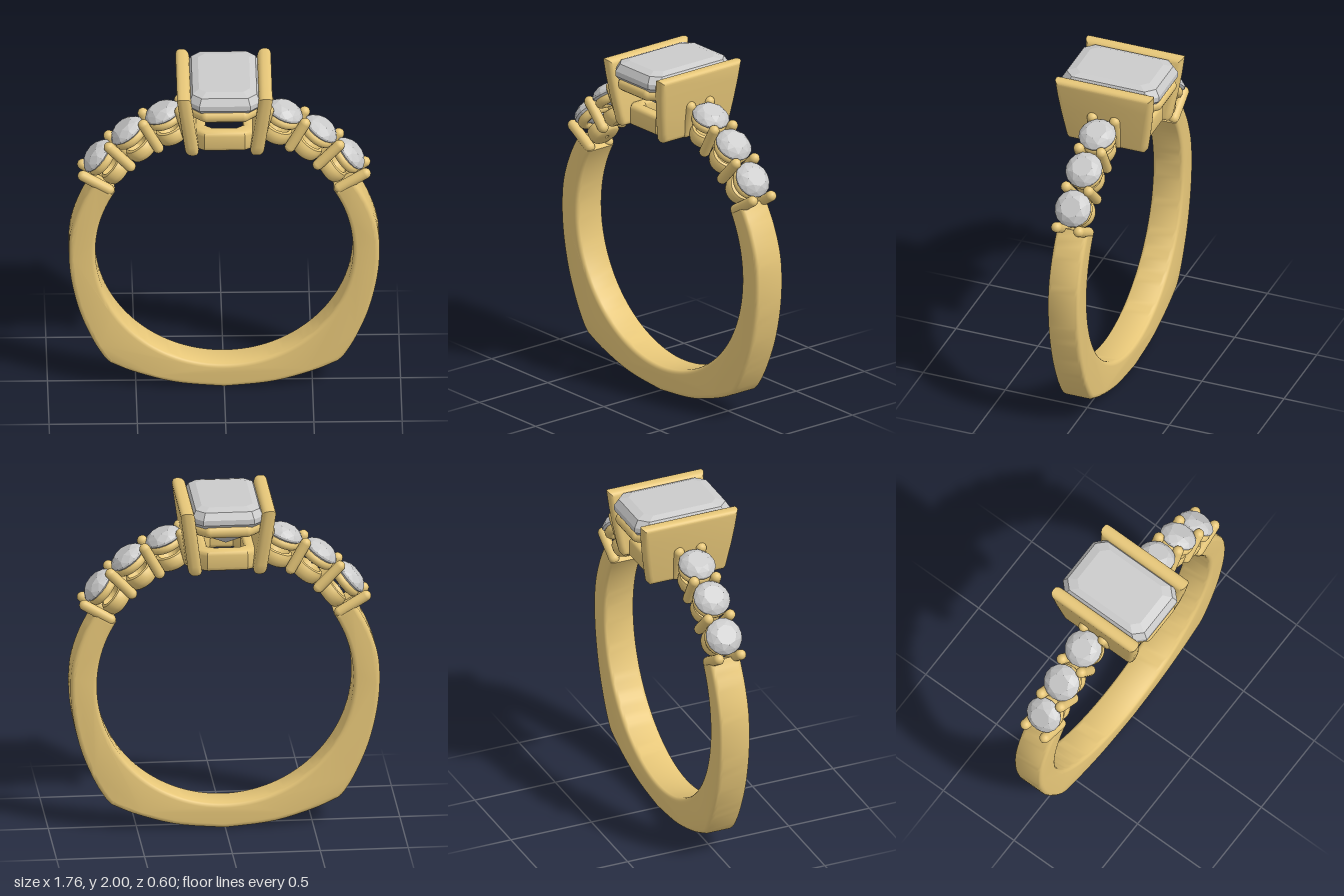
import * as THREE from 'three';
import { toCreasedNormals } from 'three/addons/utils/BufferGeometryUtils.js';
import { ConvexGeometry } from 'three/addons/geometries/ConvexGeometry.js';

const CY = 0.885, R = 0.73; // centre height and radius of the finger hole
const gold = new THREE.MeshStandardMaterial({ color: 0xe6c678 });
const gem = new THREE.MeshStandardMaterial({ color: 0xcccccc, flatShading: true });
const rad = THREE.MathUtils.degToRad;
const V2 = (x, y) => new THREE.Vector2(x, y);
const V3 = (x, y, z) => new THREE.Vector3(x, y, z);

function part(name, geometry, material = gold) {
  const m = new THREE.Mesh(geometry, material);
  m.name = name;
  return m;
}

// round-ended bar between two points
function rod(name, a, b, r) {
  const d = b.clone().sub(a);
  const m = part(name, new THREE.CapsuleGeometry(r, d.length(), 5, 14));
  m.position.copy(a).add(b).multiplyScalar(0.5);
  m.quaternion.setFromUnitVectors(V3(0, 1, 0), d.normalize());
  return m;
}

// rectangle with cut corners, as eight 2D points
function octagon(hx, hz, c) {
  return [[hx, hz - c], [hx - c, hz], [c - hx, hz], [-hx, hz - c],
    [-hx, c - hz], [c - hx, -hz], [hx - c, -hz], [hx, c - hz]].map(p => V2(...p));
}

// extrusion centred on its depth, with a rounded edge that keeps the outline size
function roundedExtrude(shape, depth, bevel, crease = 0.6) {
  const g = new THREE.ExtrudeGeometry(shape, {
    depth: depth - 2 * bevel, bevelEnabled: true, bevelThickness: bevel,
    bevelSize: bevel, bevelOffset: -bevel, bevelSegments: 4, curveSegments: 24,
  });
  g.translate(0, 0, bevel - depth / 2);
  return toCreasedNormals(g, crease);
}

// move vertices by a rule, then refresh the normals
function deform(g, rule, crease = 0.6) {
  const p = g.attributes.position, v = V3(0, 0, 0);
  for (let i = 0; i < p.count; i++) {
    rule(v.fromBufferAttribute(p, i));
    p.setXYZ(i, v.x, v.y, v.z);
  }
  return toCreasedNormals(g, crease);
}

function shank() {
  const side = new THREE.SplineCurve([[0.735, 1.335], [0.81, 1.2], [0.865, 1.04], [0.88, 0.88],
    [0.866, 0.7], [0.82, 0.5], [0.75, 0.325], [0.685, 0.21], [0.645, 0.165]].map(p => V2(...p))).getPoints(40);
  const base = new THREE.SplineCurve([[0.645, 0.165], [0.5, 0.1], [0.27, 0.033], [0, 0.005]]
    .map(p => V2(...p))).getPoints(14);
  const half = [...side, ...base.slice(1)];
  const outer = [...half, ...half.slice(0, -1).reverse().map(p => V2(-p.x, p.y))];
  const inner = [];
  for (let i = 0; i <= 90; i++) {
    const a = rad(-212 + i * 244 / 90);
    inner.push(V2(R * Math.cos(a), CY + R * Math.sin(a)));
  }
  return part('shank', roundedExtrude(new THREE.Shape([...outer, ...inner]), 0.19, 0.025));
}

// round brilliant stone: table, crown, girdle and point
function roundStone() {
  const pts = [V3(0, -0.09, 0)];
  const ring = (n, r, y, turn) => {
    for (let i = 0; i < n; i++) {
      const a = (i + turn) * 2 * Math.PI / n;
      pts.push(V3(r * Math.cos(a), y, r * Math.sin(a)));
    }
  };
  ring(8, 0.06, 0.048, 0);
  ring(8, 0.09, 0.03, 0.5);
  ring(16, 0.107, 0.006, 0);
  ring(16, 0.107, -0.006, 0);
  return new ConvexGeometry(pts);
}

function sideSettings() {
  const group = new THREE.Group();
  group.name = 'sideSettings';
  const stoneGeo = roundStone();
  const seatGeo = new THREE.TorusGeometry(0.076, 0.028, 12, 32).rotateX(Math.PI / 2);
  const cupGeo = toCreasedNormals(new THREE.LatheGeometry([[0.012, 0.01], [0.012, 0], [0.068, 0], [0.08, 0.008],
    [0.09, 0.035], [0.09, 0.065], [0.082, 0.083], [0.066, 0.088], [0.03, 0.03], [0.012, 0.01]]
    .map(p => V2(...p)), 32), 0.8);
  const at = (name, deg) => { // frame whose y axis points out of the ring
    const g = new THREE.Group();
    g.name = name;
    g.position.y = CY;
    g.rotation.z = rad(deg - 90);
    group.add(g);
    return g;
  };
  for (const s of [1, -1]) {
    for (const a of [39, 53.5, 68]) {
      const g = at('sideStoneSetting', 90 - s * (90 - a));
      const stone = part('sideStone', stoneGeo, gem);
      stone.position.y = 0.925;
      const seat = part('seatRing', seatGeo);
      seat.position.y = 0.887;
      const cup = part('lowerCup', cupGeo);
      cup.position.y = 0.742;
      g.add(stone, seat, cup);
    }
    for (const a of [31.5, 46, 60.8, 74.5]) {
      const g = at('prongPair', 90 - s * (90 - a));
      for (const z of [0.068, -0.068])
        g.add(rod('prong', V3(0, 0.765, z), V3(0, 0.938, z), 0.031));
    }
  }
  return group;
}

function head() {
  const group = new THREE.Group();
  group.name = 'head';

  // leaning side plates
  const edge = [[0.296, 1.99], [0.286, 1.88], [0.271, 1.77], [0.25, 1.65], [0.243, 1.61], [0.228, 1.59]];
  const outline = new THREE.Shape([...edge.map(p => V2(-p[0], p[1])), ...edge.reverse().map(p => V2(...p))]);
  for (const s of [1, -1]) {
    const g = roundedExtrude(outline, 0.078, 0.03).rotateY(Math.PI / 2);
    group.add(part('sidePlate', deform(g, v => { v.x += s * (0.235 - (1.985 - v.y) * 0.135); })));
  }

  // upper rail under the centre stone
  const rail = octagon(0.165, 0.263, 0.06).map(p => V3(p.x, 1.868, p.y));
  rail.forEach((p, i) => group.add(rod('upperRail', p, rail[(i + 1) % 8], 0.037)));

  // lower frame, bent to follow the finger hole
  const frame = new THREE.Shape(octagon(0.175, 0.215, 0.06));
  frame.holes.push(new THREE.Path(octagon(0.105, 0.145, 0.04).reverse()));
  const frameGeo = roundedExtrude(frame, 0.122, 0.025).rotateX(-Math.PI / 2).translate(0, 1.675, 0);
  group.add(part('lowerFrame', deform(frameGeo, v => { v.y -= R - Math.sqrt(R * R - v.x * v.x); })));

  // step-cut centre stone with a keel underneath
  const pts = [V3(0, 1.738, 0.1), V3(0, 1.738, -0.1)];
  for (const [hx, hz, c, y] of [[0.145, 0.222, 0.04, 2], [0.182, 0.272, 0.05, 1.985], [0.2, 0.296, 0.056, 1.945],
    [0.2, 0.296, 0.056, 1.915], [0.13, 0.215, 0.036, 1.815]])
    octagon(hx, hz, c).forEach(p => pts.push(V3(p.x, y, p.y)));
  group.add(part('centreStone', new ConvexGeometry(pts), gem));
  return group;
}

export function createModel() {
  const model = new THREE.Group();
  model.name = 'ring';
  model.add(shank(), sideSettings(), head());
  return model;
}
